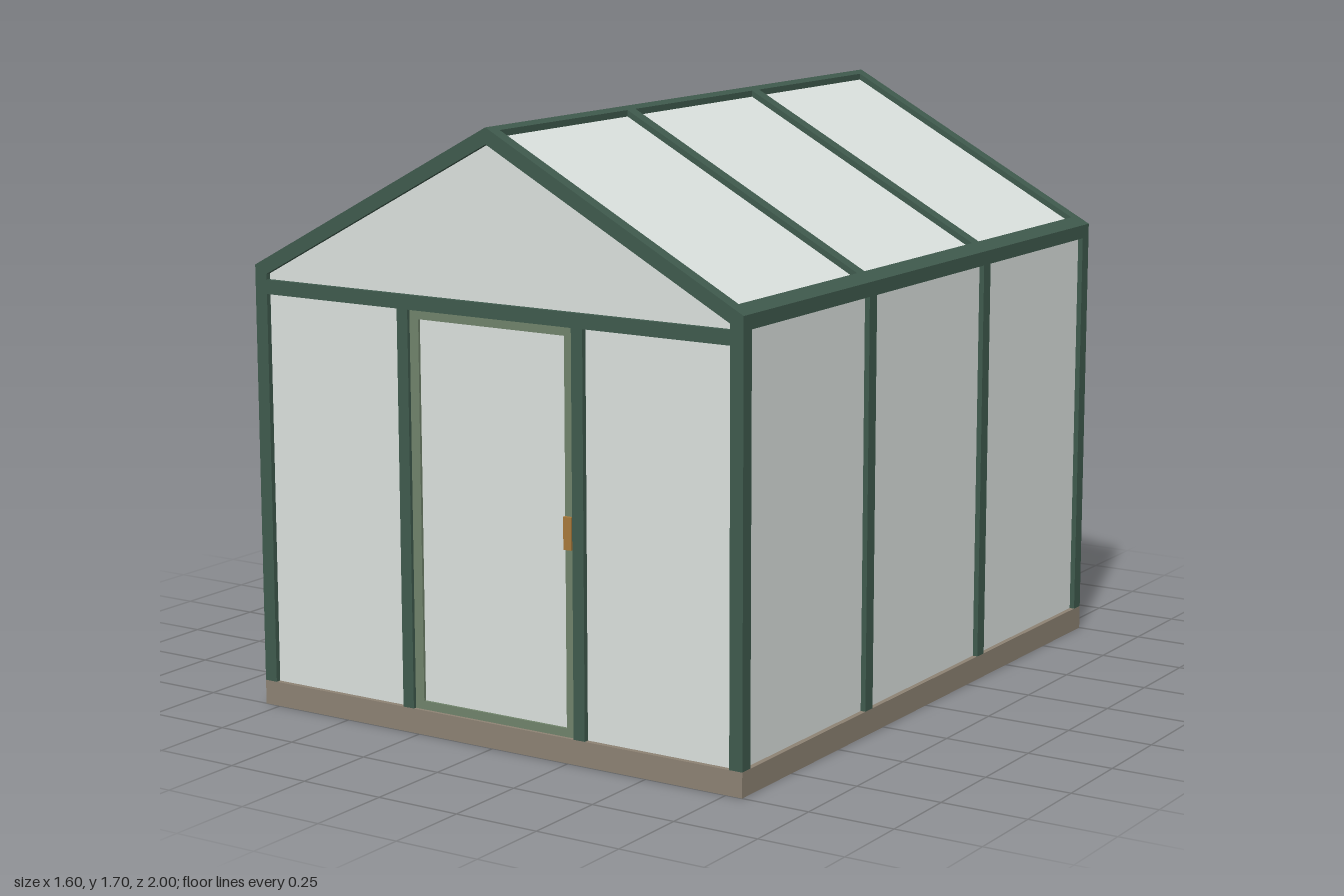
import * as THREE from 'three';

const mat = (color) => new THREE.MeshStandardMaterial({ color });

// roof line: height of the outer roof surface at x
const EAVE = 1.27, RIDGE = 1.7, HALF = 0.8;
const roofY = (x) => RIDGE - ((RIDGE - EAVE) / HALF) * Math.abs(x);

export function createModel() {
  const model = new THREE.Group();
  const frame = mat(0x3f5a4d), glass = mat(0xdbe1de), wood = mat(0x8d8273);
  const doorPaint = mat(0x70836b), brass = mat(0xa87a3c);

  // box given by its min and max corners
  const box = (name, m, x0, x1, y0, y1, z0, z1, parent = model) => {
    const mesh = new THREE.Mesh(new THREE.BoxGeometry(x1 - x0, y1 - y0, z1 - z0), m);
    mesh.position.set((x0 + x1) / 2, (y0 + y1) / 2, (z0 + z1) / 2);
    mesh.name = name;
    parent.add(mesh);
  };

  // outline in x/y extruded along z
  const prism = (name, m, pts, z0, z1) => {
    const shape = new THREE.Shape(pts.map(([x, y]) => new THREE.Vector2(x, y)));
    const geo = new THREE.ExtrudeGeometry(shape, { depth: z1 - z0, bevelEnabled: false });
    const mesh = new THREE.Mesh(geo, m);
    mesh.position.z = z0;
    mesh.name = name;
    model.add(mesh);
  };

  // inverted V following the roof, between two depths below the surface
  const chevron = (x, top, bottom) => [
    [x, roofY(x) - top], [0, RIDGE - top], [-x, roofY(x) - top],
    [-x, roofY(x) - bottom], [0, RIDGE - bottom], [x, roofY(x) - bottom],
  ];

  // open base ring
  const ring = new THREE.Shape([[-0.8, -1], [0.8, -1], [0.8, 1], [-0.8, 1]].map((p) => new THREE.Vector2(...p)));
  ring.holes.push(new THREE.Path([[-0.75, -0.95], [-0.75, 0.95], [0.75, 0.95], [0.75, -0.95]].map((p) => new THREE.Vector2(...p))));
  const base = new THREE.Mesh(new THREE.ExtrudeGeometry(ring, { depth: 0.07, bevelEnabled: false }), wood);
  base.rotation.x = -Math.PI / 2;
  base.name = 'base';
  model.add(base);

  // side posts and rafters at four bays
  for (const z of [-0.98, -0.333, 0.333, 0.98]) {
    for (const s of [-1, 1]) {
      box('sidePost', frame, s * 0.78 - 0.02, s * 0.78 + 0.02, 0.07, 1.25, z - 0.02, z + 0.02);
    }
    prism('rafters', frame, chevron(HALF, 0, 0.045), z - 0.02, z + 0.02);
  }

  // eave beams and side glass
  for (const s of [-1, 1]) {
    prism('eaveBeam', frame, [[s * 0.76, 1.23], [s * 0.8, 1.23], [s * 0.8, EAVE], [s * 0.76, roofY(0.76)]], -1, 1);
    box('sideGlass', glass, s * 0.78 - 0.005, s * 0.78 + 0.005, 0.07, 1.24, -0.98, 0.98);
  }

  // ridge beam and roof glass
  prism('ridgeBeam', frame, chevron(0.018, 0, 0.045), -1, 1);
  prism('roofGlass', glass, chevron(0.78, 0.018, 0.028), -0.98, 0.98);

  // gable ends: tie beam and triangular glass
  for (const z of [-0.98, 0.98]) {
    box('tieBeam', frame, -0.78, 0.78, 1.19, 1.23, z - 0.02, z + 0.02);
    prism('gableGlass', glass, [[-0.78, 1.21], [0.78, 1.21], [0.78, 1.25], [0, 1.67], [-0.78, 1.25]], z - 0.005, z + 0.005);
  }
  box('backGlass', glass, -0.78, 0.78, 0.07, 1.21, -0.985, -0.975);

  // front wall beside the door
  for (const s of [-1, 1]) {
    box('doorPost', frame, s * 0.287 - 0.018, s * 0.287 + 0.018, 0.07, 1.19, 0.96, 1);
    box('frontGlass', glass, s * 0.535 - 0.245, s * 0.535 + 0.245, 0.07, 1.21, 0.975, 0.985);
  }

  // door
  const door = new THREE.Group();
  door.name = 'door';
  model.add(door);
  for (const s of [-1, 1]) {
    box('doorStile', doorPaint, s * 0.255 - 0.015, s * 0.255 + 0.015, 0.07, 1.19, 0.965, 0.99, door);
  }
  box('doorBottomRail', doorPaint, -0.24, 0.24, 0.07, 0.094, 0.965, 0.99, door);
  box('doorTopRail', doorPaint, -0.24, 0.24, 1.165, 1.19, 0.965, 0.99, door);
  box('doorGlass', glass, -0.245, 0.245, 0.09, 1.17, 0.973, 0.982, door);
  box('doorHandle', brass, 0.24, 0.265, 0.59, 0.68, 0.98, 1, door);

  return model;
}
